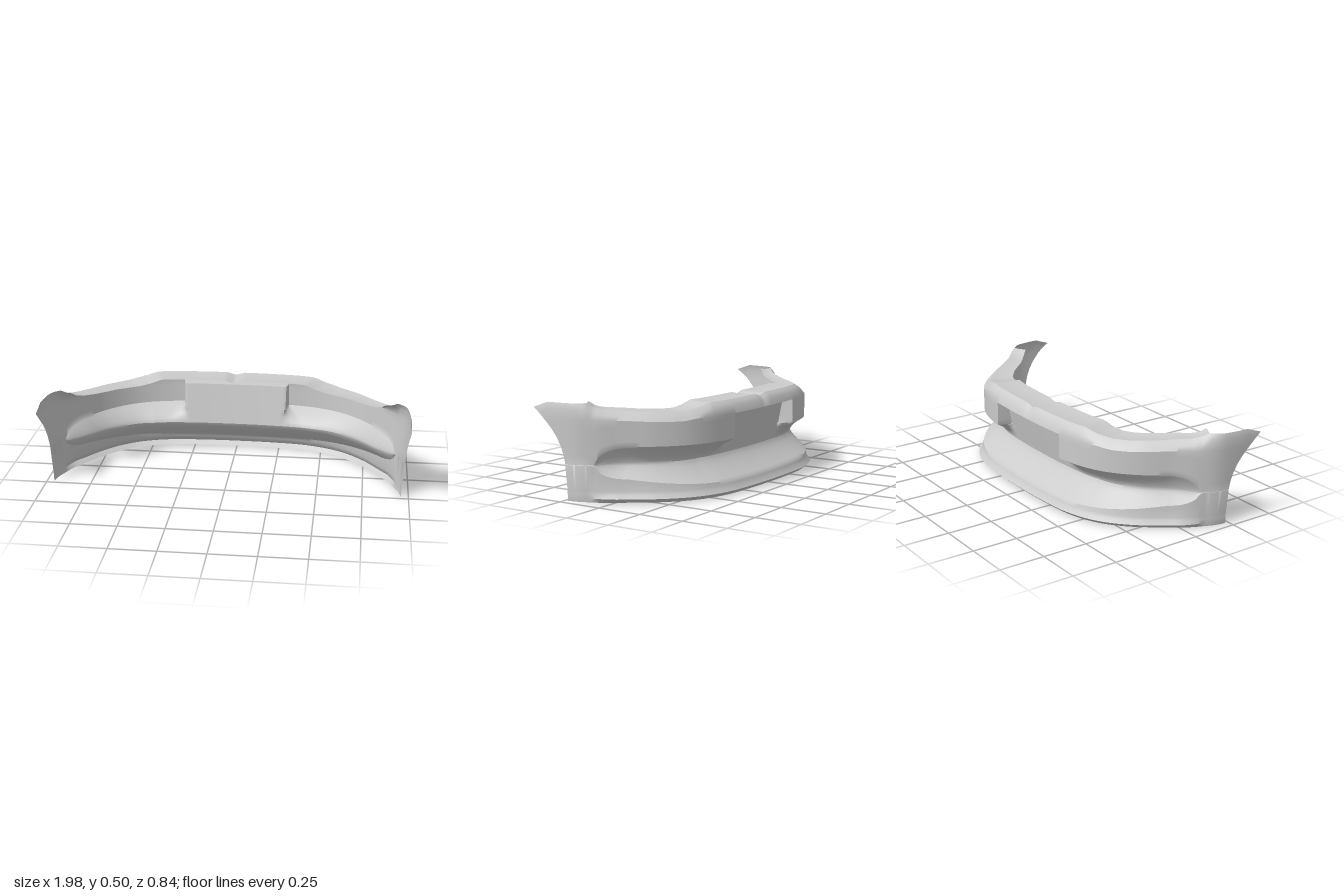
import * as THREE from 'three';
import { toCreasedNormals } from 'three/addons/utils/BufferGeometryUtils.js';

const { clamp, lerp, smoothstep } = THREE.MathUtils;

// Piecewise linear lookup through [key, value] pairs
function table(points, k) {
  if (k <= points[0][0]) return points[0][1];
  for (let i = 1; i < points.length; i++) {
    const [k0, v0] = points[i - 1], [k1, v1] = points[i];
    if (k <= k1) return lerp(v0, v1, (k - k0) / (k1 - k0));
  }
  return points[points.length - 1][1];
}

// Plan curve of the bumper body, wrapping around both corners
const half = [[0.2, -0.368], [0.4, -0.35], [0.55, -0.305], [0.65, -0.247], [0.75, -0.155],
  [0.85, -0.022], [0.93, 0.085], [0.973, 0.17], [0.99, 0.26], [1.0, 0.42]];
const plan = new THREE.CatmullRomCurve3([
  ...half.map(([x, z]) => new THREE.Vector3(-x, 0, z)).reverse(),
  new THREE.Vector3(0, 0, -0.372),
  ...half.map(([x, z]) => new THREE.Vector3(x, 0, z))]);
plan.arcLengthDivisions = 1000;
const L = plan.getLength() / 2;

// Distance along half the plan at which a given z is reached
function distanceAt(z) {
  let a = 0, b = L;
  for (let i = 0; i < 30; i++) {
    const m = (a + b) / 2;
    if (plan.getPointAt(0.5 + m / L / 2).z < z) a = m; else b = m;
  }
  return a;
}
const S0 = distanceAt(0.085);
const TIP = distanceAt(0.12);

const wheelArch = [[0, 0.225], [0.1, 0.226], [0.15, 0.229], [0.2, 0.234], [0.25, 0.243],
  [0.3, 0.26], [0.35, 0.287], [0.4, 0.33], [0.44, 0.372], [0.475, 0.42]];
const topHeight = [[0.46, 0.488], [0.54, 0.468], [0.63, 0.456], [0.7, 0.456], [0.8, 0.462],
  [0.9, 0.475], [0.93, 0.485], [0.95, 0.507]];
const recessDepth = [[0.35, 0.107], [0.5, 0.1], [0.65, 0.075], [0.8, 0.045], [0.93, 0.025]];
const flangeWidth = [[0.5, 0.192], [0.65, 0.172], [0.85, 0.14], [0.95, 0.11]];

// Point at signed distance s, height y, moved outward by offset
function place(s, y, offset) {
  let d = Math.abs(s);
  if (d > S0) d = S0 + (d - S0) * (L - 0.42 + table(wheelArch, y) - S0) / (L - S0);
  const u = clamp(0.5 + Math.sign(s) * d / L / 2, 0, 1);
  const p = plan.getPointAt(u), t = plan.getTangentAt(u);
  const o = offset - 0.03 * (1 - y / 0.5) * t.z * t.z; // sides lean out towards the top
  return [p.x + t.z * o, y, p.z - t.x * o];
}

function column(s) {
  const b = plan.getPointAt(clamp(0.5 + s / L / 2, 0, 1));
  const x = Math.abs(b.x);
  let top = table(topHeight, x) - 0.014 * Math.max(0, 1 - x / 0.05);
  top -= 0.032 * clamp((b.z - 0.33) / 0.09, 0, 1);
  const bevel = lerp(0.045, 0.012, smoothstep(x, 0.93, 0.985));
  return { x, z: b.z, top, bevel };
}

// Cross-section from the bottom lip to the top edge, as [y, offset] pairs
function section(s) {
  const { x, z, top, bevel } = column(s);
  const lip = 1 - 0.9 * smoothstep(x, 0.85, 0.975);
  const e = clamp((0.08 - z) / 0.13, 0, 1);
  const round = Math.max(0.03, Math.sqrt(1 - (1 - e) ** 2));
  const valley = 0.193;
  const upper = valley + 0.094 * round;
  const lower = valley - 0.07 * round - 0.05 * clamp((-0.05 - z) / 0.32, 0, 1);
  const depth = table(recessDepth, x) * (z > 0.08 ? 0 : round);
  const plate = clamp((0.306 - x) / 0.008, 0, 1);
  const ledge = Math.min(0.42, top - 0.045);
  const plateOffset = y => -0.06 - 0.047 * (0.418 - y) / (0.418 - valley);
  const rows = [[0.003, 0.018 * lip], [0.025, 0.043 * lip], [0.045, 0.026 * lip], [0.06, 0.02 * lip]];
  // Lower face of the long recess
  for (let i = 0; i <= 10; i++) {
    const k = 1 - i / 10;
    rows.push([lerp(valley, lower, k), lerp(-depth, 0.014 * lip, k ** 1.35)]);
  }
  // Upper face, running into the plate recess in the middle
  for (let i = 1; i <= 10; i++) {
    const k = i / 10, y = lerp(valley, upper, k);
    const spread = clamp((0.306 + 0.12 * (1 - k) - x) / (0.008 + 0.16 * (1 - k)), 0, 1);
    rows.push([y, lerp(-depth * (1 - k ** 1.5), plateOffset(y), spread)]);
  }
  // Wall, plate ledge and rounded top
  for (let i = 1; i <= 5; i++) {
    const y = lerp(upper, ledge - 0.002, i / 5);
    rows.push([y, lerp(0, plateOffset(y), plate)]);
  }
  rows.push([ledge, 0], [top - 0.03, -bevel * 0.28], [top - 0.012, -bevel * 0.65], [top, -bevel]);
  return rows.map(([y, o]) => place(s, y, o));
}

// Shelf running inward from the top edge
function flangeSection(s) {
  const { x, top, bevel } = column(s);
  const rows = [];
  for (let i = 0; i <= 4; i++) {
    rows.push(place(s, top - 0.004 * Math.sin(Math.PI * i / 4), -lerp(bevel, table(flangeWidth, x), i / 4)));
  }
  return rows;
}

// Skin a list of equal-length sections
function loft(name, sections, material, crease) {
  const n = sections[0].length, index = [];
  for (let i = 0; i < sections.length - 1; i++) {
    for (let j = 0; j < n - 1; j++) {
      const a = i * n + j, b = a + n;
      index.push(a, a + 1, b, b, a + 1, b + 1);
    }
  }
  const geometry = new THREE.BufferGeometry();
  geometry.setAttribute('position', new THREE.Float32BufferAttribute(sections.flat(2), 3));
  geometry.setIndex(index);
  const mesh = new THREE.Mesh(toCreasedNormals(geometry, crease), material);
  mesh.name = name;
  return mesh;
}

// Evenly spaced mirrored stations, plus extra ones at sharp places
function stations(end, count, extra) {
  const list = [0];
  for (let i = 1; i <= count; i++) list.push(end * i / count, -end * i / count);
  for (const s of extra) list.push(s, -s);
  return list.sort((a, b) => a - b);
}

export function createModel() {
  const group = new THREE.Group();
  group.name = 'bumper';
  const material = new THREE.MeshStandardMaterial({ color: 0xcccccc, side: THREE.DoubleSide });
  group.add(loft('bumperSkin', stations(L, 110, [0.2985, 0.3065]).map(section), material, 0.6));
  group.add(loft('topFlange', stations(TIP, 90, []).map(flangeSection), material, 0.6));
  return group;
}
